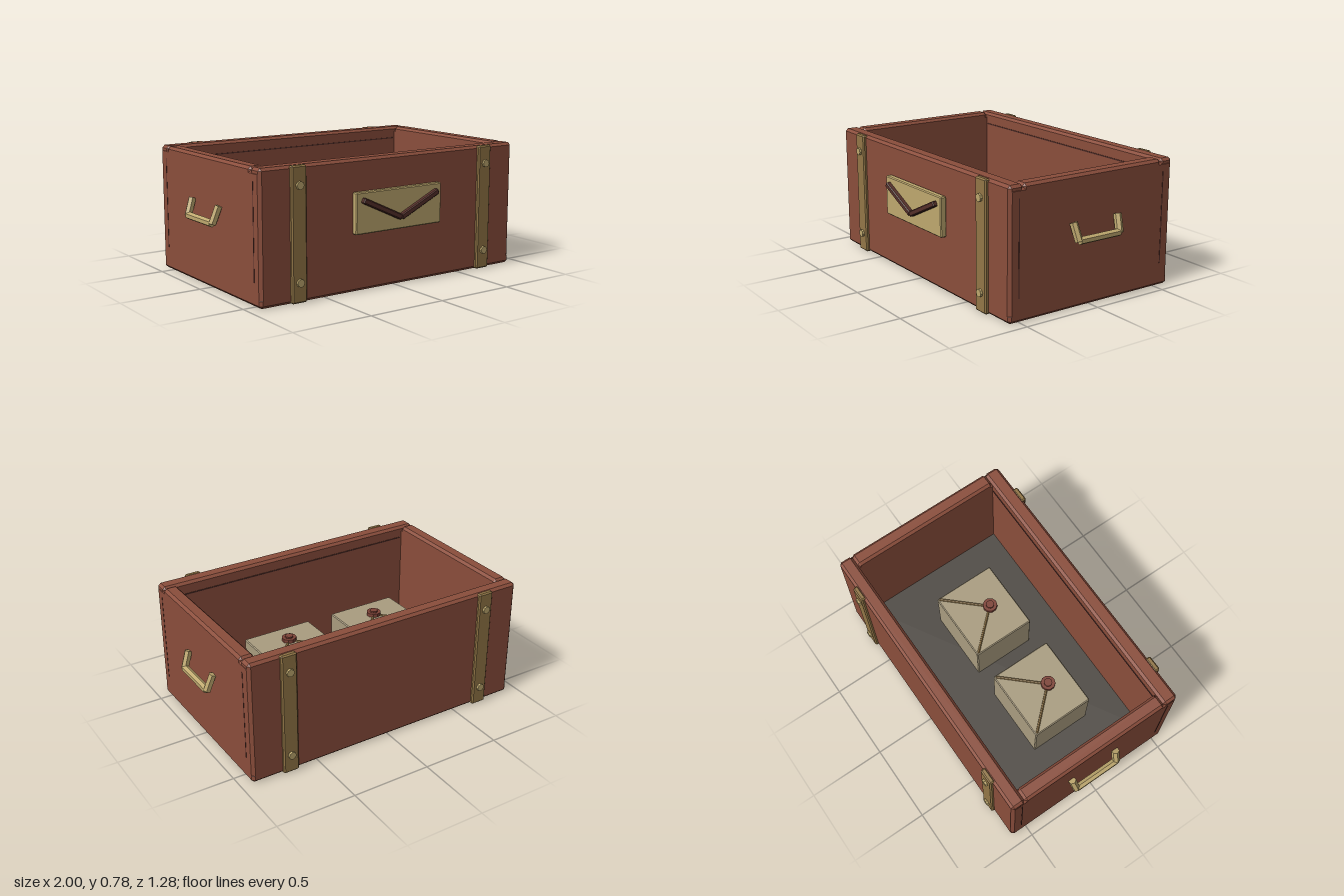
import * as THREE from 'three';
import { ConvexGeometry } from 'three/addons/geometries/ConvexGeometry.js';

const mat = (name, color) => {
  const m = new THREE.MeshStandardMaterial({ color, flatShading: true });
  m.name = name;
  return m;
};

export function createModel() {
  const group = new THREE.Group();
  group.name = 'chest';
  const wood = mat('red wood', 0x8b4e3c);
  const groove = mat('dark groove', 0x55302a);
  const strapMat = mat('aged brass', 0x937747);
  const brass = mat('light brass', 0xbfa96f);
  const paper = mat('paper', 0xaa9d80);
  const lining = mat('grey lining', 0x4e4943);
  const wax = mat('wax', 0x7e4337);

  const add = (name, geo, m) => {
    const mesh = new THREE.Mesh(geo, m);
    mesh.name = name;
    group.add(mesh);
    return mesh;
  };

  // Box between two corners with chamfered edges
  const block = (name, m, [x0, y0, z0], [x1, y1, z1], b = 0) => {
    const size = [x1 - x0, y1 - y0, z1 - z0];
    const mid = [(x0 + x1) / 2, (y0 + y1) / 2, (z0 + z1) / 2];
    let geo;
    if (b === 0) geo = new THREE.BoxGeometry(...size);
    else {
      const points = [];
      for (const sx of [-1, 1]) for (const sy of [-1, 1]) for (const sz of [-1, 1])
        for (let k = 0; k < 3; k++) {
          const p = [sx, sy, sz].map((s, i) => s * (size[i] / 2 - (i === k ? 0 : b)));
          points.push(new THREE.Vector3(...p));
        }
      geo = new ConvexGeometry(points);
    }
    const mesh = add(name, geo, m);
    mesh.position.set(...mid);
    return mesh;
  };

  // Faceted rod between two points
  const rod = (name, m, a, b, r, sides = 8) => {
    const p = new THREE.Vector3(...a), q = new THREE.Vector3(...b);
    const mesh = add(name, new THREE.CylinderGeometry(r, r, p.distanceTo(q), sides), m);
    mesh.position.copy(p).add(q).multiplyScalar(0.5);
    mesh.quaternion.setFromUnitVectors(new THREE.Vector3(0, 1, 0), q.sub(p).normalize());
    return mesh;
  };

  // Walls, base and lining
  block('frontWall', wood, [-0.928, 0.01, 0.475], [0.928, 0.78, 0.57], 0.016);
  block('backWall', wood, [-0.928, 0.01, -0.605], [0.928, 0.78, -0.515], 0.016);
  block('base', wood, [-0.93, 0, -0.605], [0.93, 0.06, 0.57], 0.016);
  block('floorLining', lining, [-0.85, 0.06, -0.52], [0.85, 0.075, 0.48]);

  // Thin line under the rim inside the front and back walls
  block('innerGroove', groove, [-0.83, 0.698, 0.471], [0.83, 0.705, 0.48]);
  block('innerGroove', groove, [-0.83, 0.698, -0.52], [0.83, 0.705, -0.511]);

  for (const s of [-1, 1]) {
    const span = (a, b) => (s > 0 ? [a, b] : [-b, -a]);
    const [w0, w1] = span(0.84, 0.93);
    block('sideWall', wood, [w0, 0.01, -0.603], [w1, 0.762, 0.568], 0.016);
    block('sideRim', wood, [w0, 0.7, -0.515], [w1, 0.78, 0.475], 0.016);

    // Side grooves
    const [g0, g1] = span(0.925, 0.9315);
    for (const z of [0.505, -0.535])
      block('sideGroove', groove, [g0, 0.14, z - 0.003], [g1, 0.705, z + 0.003]);

    // Straps with rivets on the front and back
    const [t0, t1] = span(0.635, 0.735);
    block('frontStrap', strapMat, [t0, 0.002, 0.555], [t1, 0.78, 0.59], 0.008);
    block('backStrap', strapMat, [t0, 0.002, -0.624], [t1, 0.78, -0.59], 0.008);
    for (const y of [0.12, 0.67]) {
      rod('frontRivet', brass, [s * 0.685, y, 0.575], [s * 0.685, y, 0.604], 0.024);
      rod('backRivet', brass, [s * 0.685, y, -0.61], [s * 0.685, y, -0.638], 0.024);
    }

    // Drop handle
    for (const d of [-1, 1])
      rod('handleArm', brass, [s * 0.94, 0.512, -0.02 + d * 0.16],
        [s * 0.977, 0.408, -0.02 + d * 0.148], 0.024, 6);
    rod('handleBar', brass, [s * 0.977, 0.412, -0.165], [s * 0.977, 0.412, 0.125], 0.023, 6);

    // Half of the chevron on the front plate
    const bar = block('chevronBar', groove, [-0.152, -0.017, 0.6], [0.152, 0.017, 0.638], 0.006);
    bar.position.x = s * 0.138;
    bar.position.y = 0.482;
    bar.rotation.z = s * Math.atan2(0.125, 0.27);
  }

  // Front plate
  block('frontPlate', brass, [-0.315, 0.345, 0.571], [0.315, 0.59, 0.611], 0.006);

  // Letter bundles with flap lines and wax seals
  for (const x of [-0.345, 0.29]) {
    block('letterBundle', paper, [x - 0.23, 0.075, -0.18], [x + 0.23, 0.42, 0.226], 0.006);
    for (const d of [-1, 1])
      rod('flapLine', strapMat, [x + d * 0.22, 0.421, -0.167], [x, 0.421, 0.07], 0.008, 6);
    rod('seal', wax, [x, 0.415, 0.073], [x, 0.443, 0.073], 0.046, 10);
    rod('sealCentre', wax, [x, 0.44, 0.073], [x, 0.453, 0.073], 0.026, 10);
  }
  return group;
}
